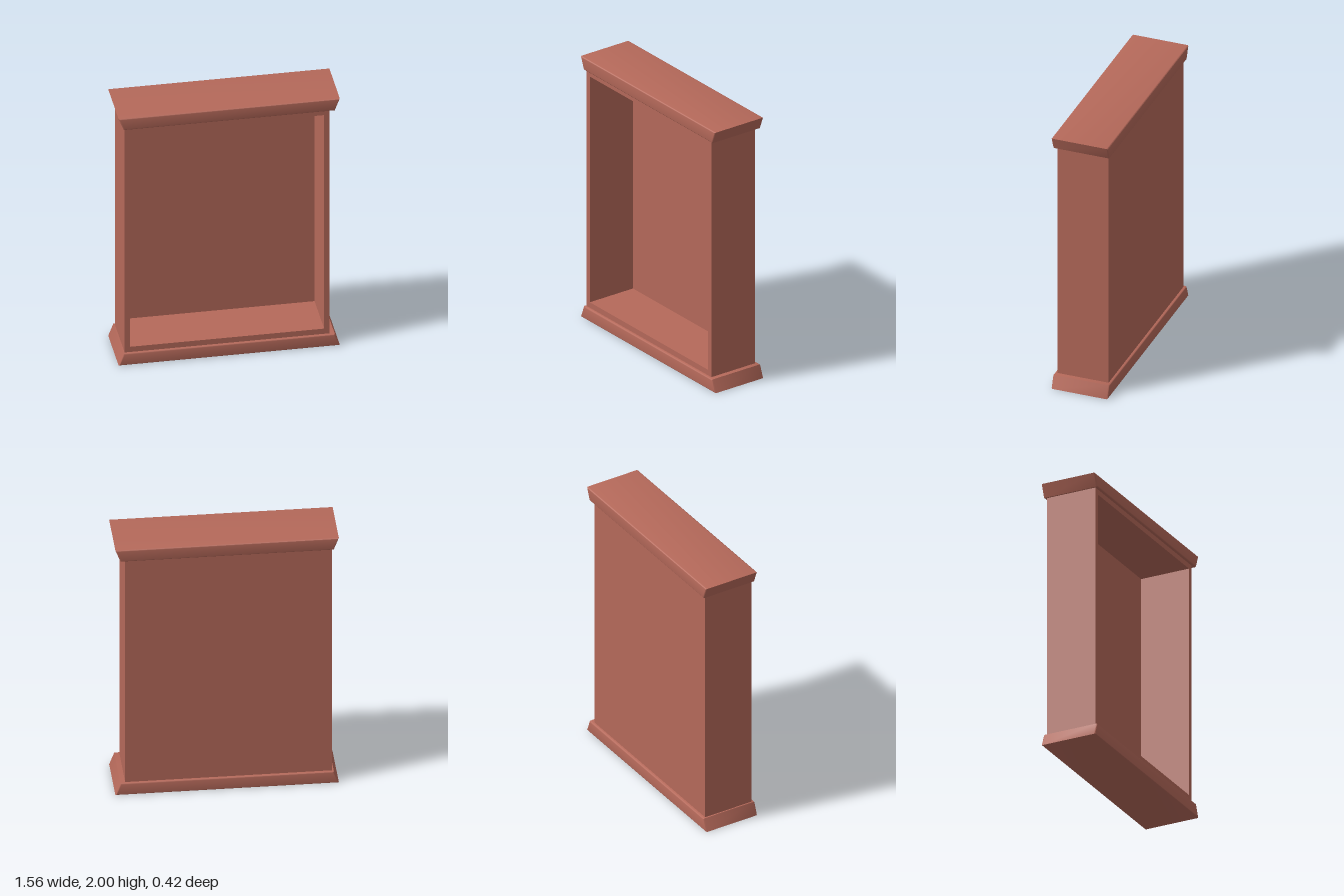
import * as THREE from 'three';
import { toCreasedNormals } from 'three/addons/utils/BufferGeometryUtils.js';

const CAP_H = 0.093, CAP_D = 0.42, BEVEL = 0.01;
const BODY_D = 0.38, BACK = 0.006;

// Closed polygon from [x, y] corners
const polygon = (pts, Type = THREE.Shape) => new Type(pts.map(([x, y]) => new THREE.Vector2(x, y)));
const rect = (x0, x1, y0, y1) => [[x0, y0], [x1, y0], [x1, y1], [x0, y1]];

export function createModel() {
  const wood = new THREE.MeshStandardMaterial({ color: 0xb5695a });
  wood.name = 'redBrownWood';
  const group = new THREE.Group();
  group.name = 'displayCase';

  const add = (name, geometry) => {
    const mesh = new THREE.Mesh(geometry, wood);
    mesh.name = name;
    group.add(mesh);
    return mesh;
  };

  // Thin-walled case, open at the front
  const outline = polygon(rect(-0.735, 0.71, CAP_H, 2 - CAP_H));
  outline.holes.push(polygon(rect(-0.698, 0.672, 0.135, 1.868).reverse(), THREE.Path));
  const frame = new THREE.ExtrudeGeometry(outline, { depth: BODY_D - BACK, bevelEnabled: false });
  add('caseFrame', frame).position.z = -BODY_D / 2 + BACK;

  // Back panel, flush with the outside of the case
  const back = new THREE.BoxGeometry(1.445, 2 - 2 * CAP_H, BACK);
  add('backPanel', back).position.set(-0.0125, 1, -(BODY_D - BACK) / 2);

  // Mouldings with sloping ends and softened front and back edges
  const moulding = (name, y, wideY, narrowY) => {
    const pts = [[-0.78, wideY], [0.78, wideY], [0.745, narrowY], [-0.745, narrowY]];
    if (wideY > narrowY) pts.reverse();
    const geo = new THREE.ExtrudeGeometry(polygon(pts), {
      depth: CAP_D - 2 * BEVEL, bevelThickness: BEVEL, bevelSize: BEVEL,
      bevelOffset: -BEVEL, bevelSegments: 3,
    });
    geo.translate(0, y, -CAP_D / 2 + BEVEL);
    add(name, toCreasedNormals(geo, 0.7));
  };
  moulding('baseMoulding', 0, 0, CAP_H);
  moulding('topMoulding', 2 - CAP_H, CAP_H, 0);

  return group;
}
